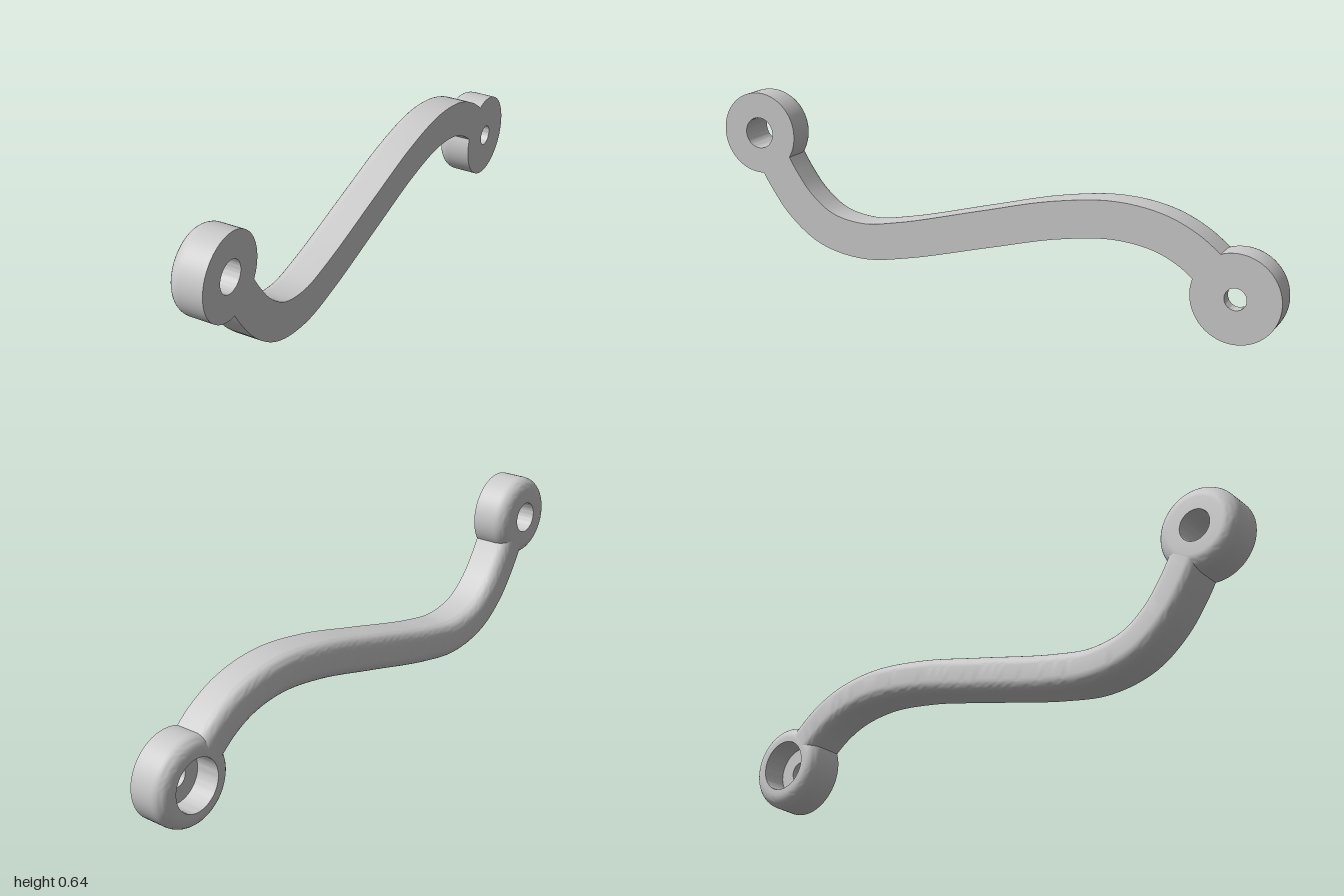
import * as THREE from 'three';
import { toCreasedNormals } from 'three/addons/utils/BufferGeometryUtils.js';

const HALF = 0.063; // half thickness, flat side at +x, rounded side at -x
const material = new THREE.MeshStandardMaterial({ color: 0xcccccc });

// quarter-circle fillet points around (cx, cy), from angle a0 to a1
function fillet(cx, cy, r, a0, a1, n = 8) {
  return Array.from({ length: n + 1 }, (_, i) => {
    const a = a0 + (a1 - a0) * i / n;
    return new THREE.Vector2(cx + r * Math.cos(a), cy + r * Math.sin(a));
  });
}

function addMesh(parent, geometry, name) {
  const mesh = new THREE.Mesh(toCreasedNormals(geometry, 0.5), material);
  mesh.name = name;
  parent.add(mesh);
  return mesh;
}

// round eye with a bore; an optional wider recess opens on the rounded side
function eye(parent, name, y, z, radius, bore, recess = bore, depth = 0) {
  const r = 0.045;
  const v = (a, b) => new THREE.Vector2(a, b);
  const profile = [
    v(recess, -HALF),
    ...fillet(radius - r, -HALF + r, r, -Math.PI / 2, 0),
    v(radius, HALF),
    v(bore, HALF),
  ];
  if (depth > 0) profile.push(v(bore, -HALF + depth), v(recess, -HALF + depth));
  profile.push(v(recess, -HALF));
  const mesh = addMesh(parent, new THREE.LatheGeometry(profile, 64), name);
  mesh.rotation.z = -Math.PI / 2;
  mesh.position.set(0, y, z);
}

// S-curved arm: a bar section, rounded on the -x side, swept along the curve
function armGeometry() {
  const path = new THREE.CatmullRomCurve3([
    [0.808, 0.415], [0.765, 0.345], [0.70, 0.262], [0.60, 0.19], [0.46, 0.163],
    [0.30, 0.186], [0, 0.262], [-0.25, 0.324], [-0.45, 0.348], [-0.60, 0.328],
    [-0.70, 0.283], [-0.78, 0.222],
  ].map(([z, y]) => new THREE.Vector3(0, y, z)), false, 'centripetal');

  const h = 0.0625, r = 0.04;
  const section = [
    ...fillet(-HALF + r, -h + r, r, Math.PI * 1.5, Math.PI),
    ...fillet(-HALF + r, h - r, r, Math.PI, Math.PI / 2),
    new THREE.Vector2(HALF, h),
    new THREE.Vector2(HALF, -h),
  ];
  const steps = 96, n = section.length, pos = [], index = [];
  for (let i = 0; i <= steps; i++) {
    const p = path.getPointAt(i / steps), t = path.getTangentAt(i / steps);
    for (const s of section) pos.push(s.x, p.y - t.z * s.y, p.z + t.y * s.y);
    if (i === steps) break;
    for (let j = 0; j < n; j++) {
      const a = i * n + j, b = i * n + (j + 1) % n;
      index.push(a, b, a + n, b, b + n, a + n);
    }
  }
  const geometry = new THREE.BufferGeometry();
  geometry.setAttribute('position', new THREE.Float32BufferAttribute(pos, 3));
  geometry.setIndex(index);
  return geometry;
}

export function createModel() {
  const model = new THREE.Group();
  model.name = 'leverArm';
  addMesh(model, armGeometry(), 'arm');
  eye(model, 'frontEye', 0.5, 0.86, 0.14, 0.053);
  eye(model, 'rearEye', 0.148, -0.853, 0.147, 0.036, 0.088, 0.085);
  return model;
}
